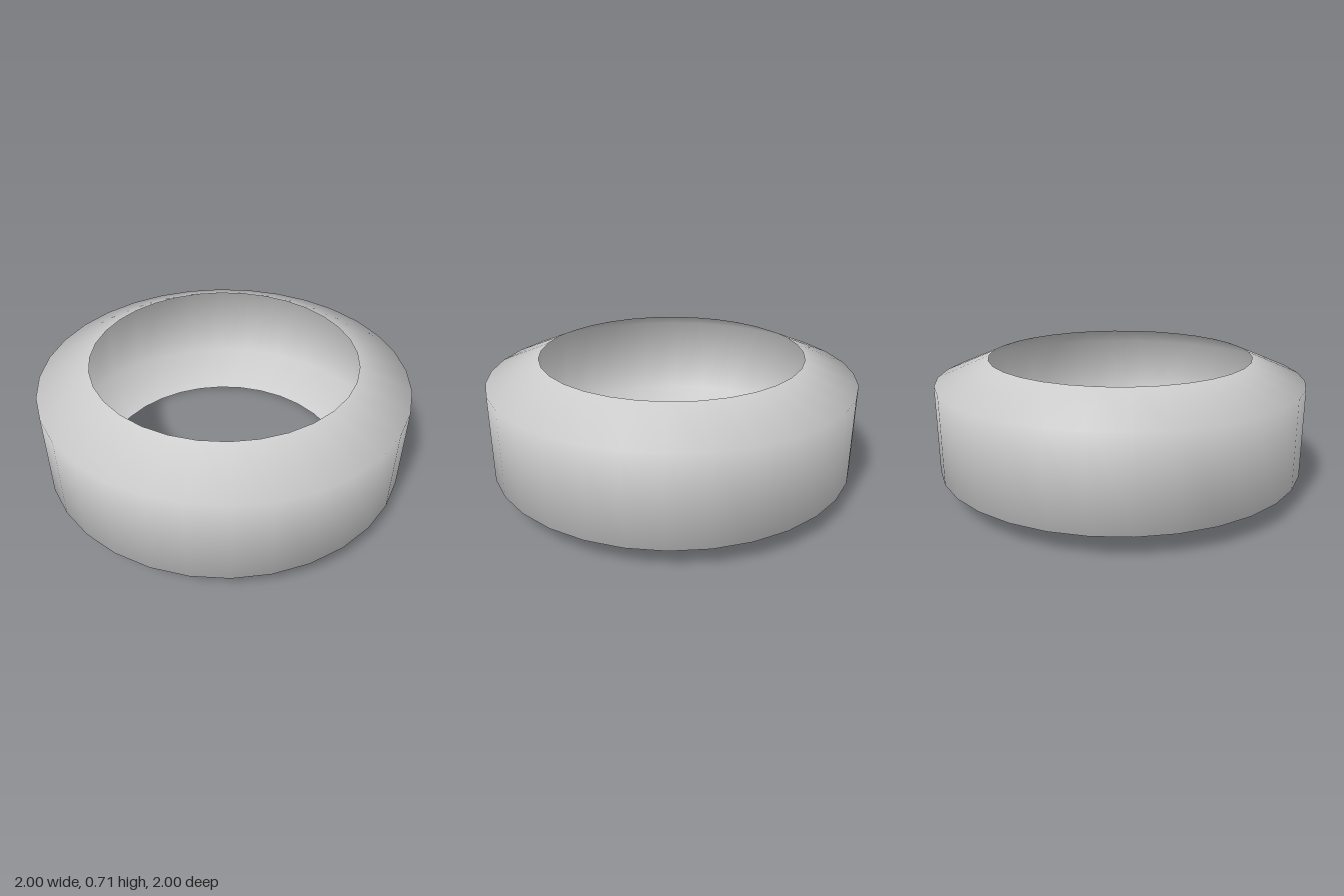
import * as THREE from 'three';

export function createModel() {
  const group = new THREE.Group();
  group.name = 'ring';

  // Open band: straight wall with a bevel sloping in to each rim
  const rim = 0.715, height = 0.715, bevel = 0.12;
  const profile = [
    [rim, 0],
    [1, bevel],
    [1, height - bevel],
    [rim, height],
  ].map(([r, y]) => new THREE.Vector2(r, y));

  const band = new THREE.Mesh(
    new THREE.LatheGeometry(profile, 32),
    new THREE.MeshStandardMaterial({ color: 0xcccccc, side: THREE.DoubleSide })
  );
  band.name = 'band';
  group.add(band);
  return group;
}
